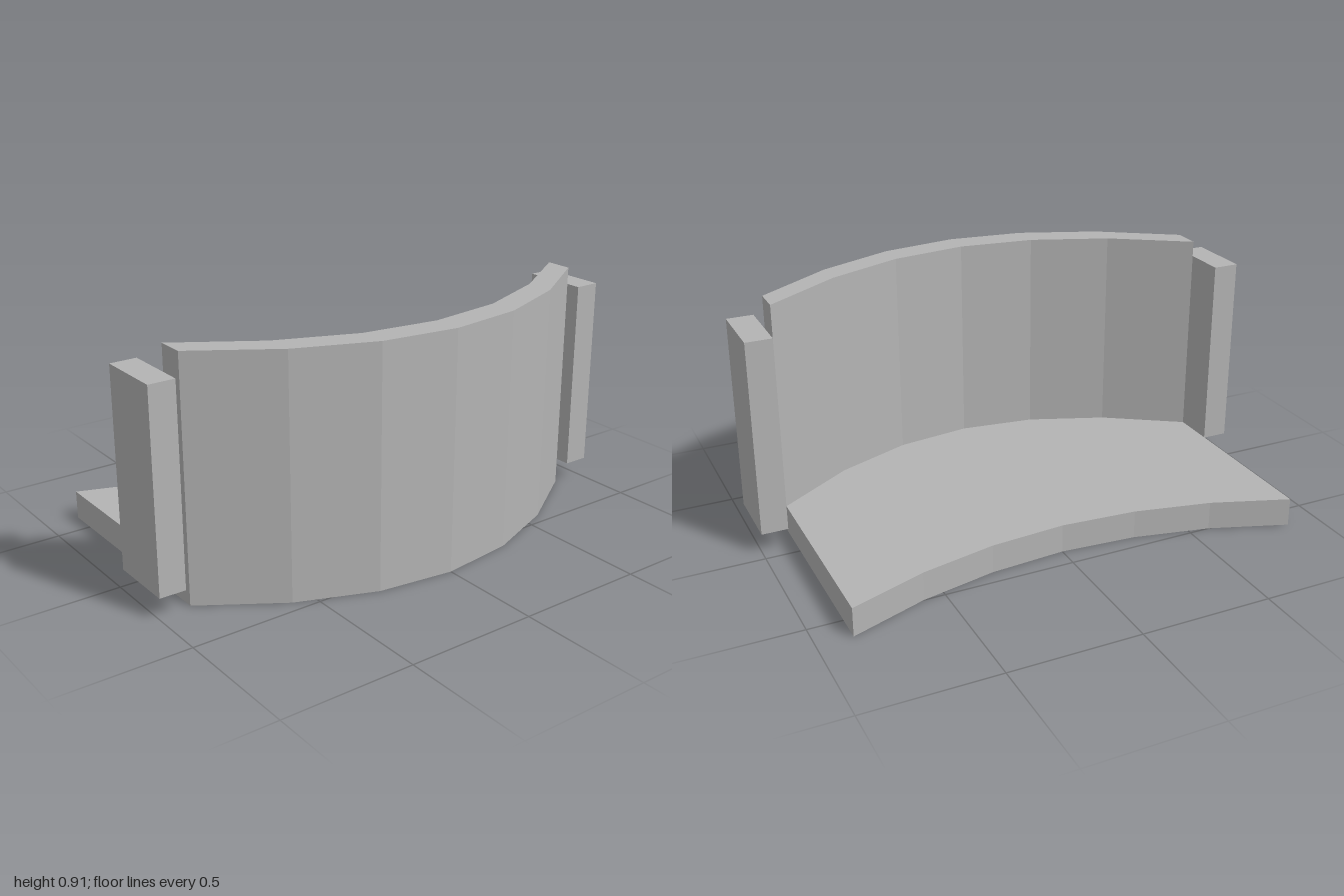
import * as THREE from 'three';

// z of each curve at evenly spaced x, from the centre line outwards
const STEP = 0.29;
const OUTER = [0.603, 0.565, 0.45, 0.26];
const INNER = [0.495, 0.457, 0.343, 0.155];
const BACK = [-0.415, -0.437, -0.5, -0.605];

// full mirrored curve, running from -x to +x
function curve(half) {
  const points = [];
  for (let i = -3; i <= 3; i++) points.push(new THREE.Vector2(i * STEP, -half[Math.abs(i)]));
  return points;
}

// upright slab between two plan curves, standing on y = 0
function slab(name, front, back, height, material) {
  const shape = new THREE.Shape([...curve(front), ...curve(back).reverse()]);
  const geometry = new THREE.ExtrudeGeometry(shape, { depth: height, bevelEnabled: false });
  geometry.rotateX(-Math.PI / 2);
  const mesh = new THREE.Mesh(geometry, material);
  mesh.name = name;
  return mesh;
}

export function createModel() {
  const group = new THREE.Group();
  group.name = 'curvedPanelWithShelf';
  const grey = new THREE.MeshStandardMaterial({ color: 0xb4b4b4 });
  grey.name = 'grey';

  // curved front wall and the floor behind it
  group.add(slab('frontWall', OUTER, INNER, 0.91, grey));
  group.add(slab('floor', INNER, BACK, 0.11, grey));

  // free-standing side panels
  for (const side of [-1, 1]) {
    const panel = new THREE.Mesh(new THREE.BoxGeometry(0.1, 0.75, 0.257), grey);
    panel.position.set(side * 0.95, 0.458, 0.162);
    panel.name = side > 0 ? 'leftSidePanel' : 'rightSidePanel';
    group.add(panel);
  }
  return group;
}
